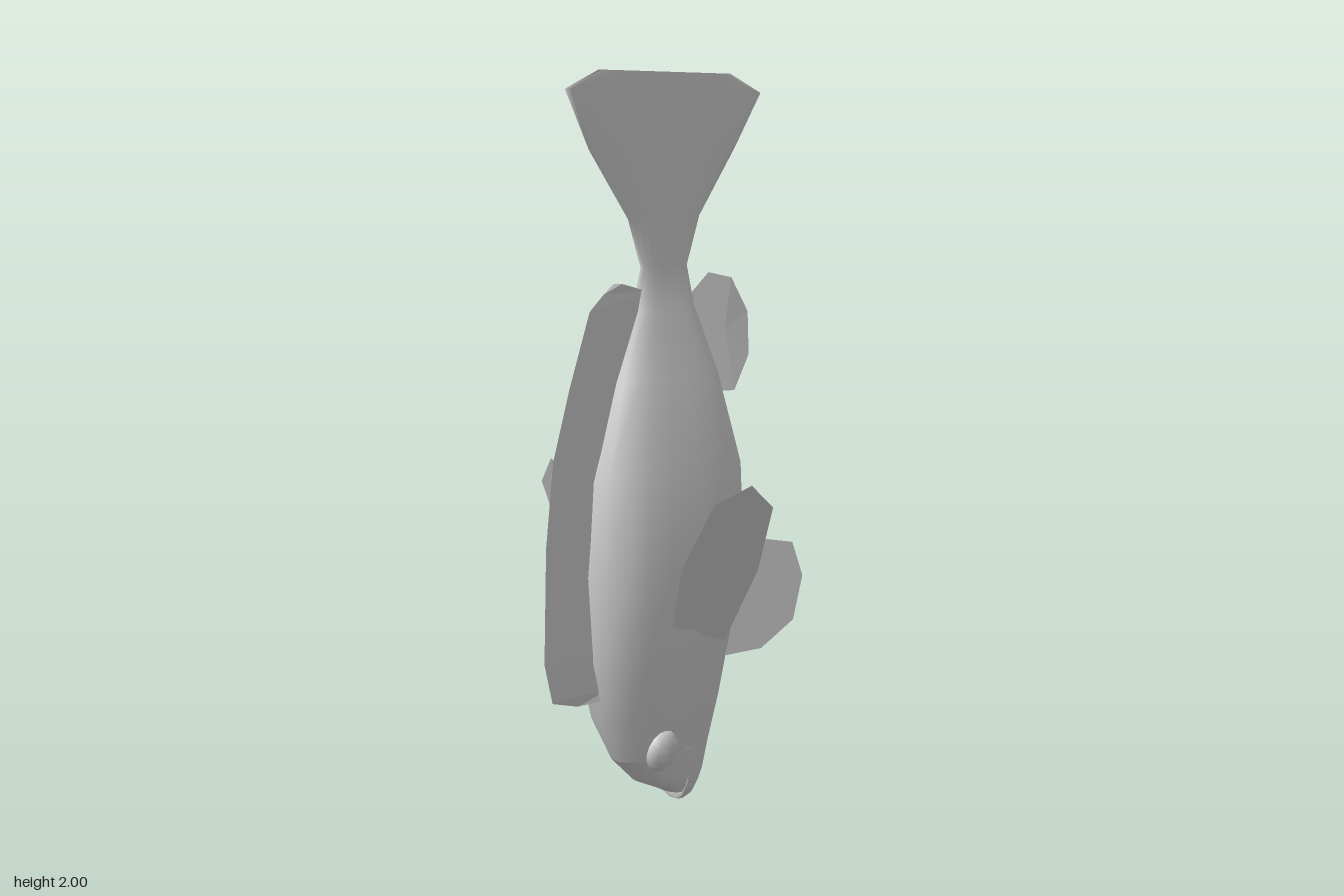
import * as THREE from 'three';

const smooth = new THREE.MeshStandardMaterial({ color: 0xcccccc, side: THREE.DoubleSide });
const flat = new THREE.MeshStandardMaterial({ color: 0xcccccc, side: THREE.DoubleSide, flatShading: true });

// Half sections as [t, w]: t runs from belly (0) to back (1), w is a share of the half width
const EGG = [[1, 0], [0.975, 0.35], [0.89, 0.66], [0.78, 0.81], [0.64, 0.9], [0.47, 0.96],
  [0.27, 1], [0.1, 0.86], [0.03, 0.5], [0, 0]];
const WEDGE = [[1, 0], [0, 1], [0, 0]];

// Skin a stack of mirrored sections; each row is [y, zBack, zBelly, halfWidth, clampLow, clampHigh]
function loft(rows, half) {
  const ring = [...half, ...half.slice(1, -1).reverse().map(([t, w]) => [t, -w])];
  const n = ring.length, pos = [], index = [];
  const addRing = ([y, zBack, zBelly, width, low = -9, high = 9]) => {
    for (const [t, w] of ring) {
      const z = zBelly + (zBack - zBelly) * t;
      pos.push(w * width, y, Math.min(high, Math.max(low, z)));
    }
  };
  rows.forEach(addRing);
  for (let i = 0; i < rows.length - 1; i++) {
    for (let j = 0; j < n; j++) {
      const a = i * n + j, b = i * n + (j + 1) % n;
      index.push(a, b, b + n, a, b + n, a + n);
    }
  }
  // End caps on their own vertices, so that the rims stay sharp
  for (const [row, up] of [[rows[0], false], [rows[rows.length - 1], true]]) {
    const s = pos.length / 3;
    addRing(row);
    for (let j = 1; j < n - 1; j++) {
      index.push(s, up ? s + j : s + j + 1, up ? s + j + 1 : s + j);
    }
  }
  const g = new THREE.BufferGeometry();
  g.setAttribute('position', new THREE.Float32BufferAttribute(pos, 3));
  g.setIndex(index);
  g.computeVertexNormals();
  return g;
}

// Thin fin: a fan around the middle of its outline
function fin(points, side) {
  const pts = points.map(([x, y, z]) => new THREE.Vector3(x * side, y, z));
  const mid = pts.reduce((s, p) => s.add(p), new THREE.Vector3()).divideScalar(pts.length);
  const tris = pts.flatMap((p, i) => {
    const q = pts[(i + 1) % pts.length];
    return side > 0 ? [mid, p, q] : [mid, q, p];
  });
  const g = new THREE.BufferGeometry().setFromPoints(tris);
  g.computeVertexNormals();
  return g;
}

export function createModel() {
  const model = new THREE.Group();
  const add = (name, geometry, material = smooth) => {
    const mesh = new THREE.Mesh(geometry, material);
    mesh.name = name;
    model.add(mesh);
    return mesh;
  };

  // Body running up into the tail fin
  add('bodyAndTail', loft([
    [0.17, 0.175, -0.17, 0.08], [0.3, 0.25, -0.2, 0.105], [0.47, 0.295, -0.23, 0.13],
    [0.7, 0.31, -0.27, 0.155], [0.95, 0.283, -0.268, 0.14], [1.2, 0.19, -0.21, 0.085],
    [1.38, 0.1, -0.143, 0.035], [1.49, 0.07, -0.12, 0.017], [1.62, 0.125, -0.18, 0.013],
    [1.8, 0.28, -0.34, 0.011], [1.95, 0.37, -0.46, 0.008], [2.0, 0.24, -0.32, 0.002],
  ], EGG));

  // Jaws, parted by the narrow mouth slit
  add('upperJaw', loft([
    [0.03, -0.04, -0.1, 0.04, -0.06], [0.055, 0.01, -0.13, 0.055, -0.058],
    [0.09, 0.085, -0.15, 0.066, -0.055], [0.13, 0.13, -0.16, 0.073, -0.053],
    [0.17, 0.175, -0.17, 0.08, -0.05],
  ], EGG));
  add('lowerJaw', loft([
    [0.003, -0.066, -0.098, 0.02, -9, -0.07], [0.02, -0.03, -0.118, 0.04, -9, -0.065],
    [0.055, 0.01, -0.134, 0.055, -9, -0.065], [0.09, 0.085, -0.15, 0.066, -9, -0.059],
    [0.17, 0.175, -0.17, 0.08, -9, -0.05],
  ], EGG));

  // Dorsal fin, thick at the root and thin at the rim
  add('dorsalFin', loft([
    [0.36, 0.335, 0.24, 0.02], [0.39, 0.435, 0.22, 0.02], [0.5, 0.465, 0.24, 0.02],
    [0.8, 0.455, 0.24, 0.018], [1.02, 0.425, 0.2, 0.016], [1.2, 0.36, 0.14, 0.014],
    [1.39, 0.28, 0.06, 0.011], [1.43, 0.225, 0.06, 0.01], [1.455, 0.185, 0.16, 0.008],
  ], WEDGE), flat);

  // Paired parts
  const pectoral = [[0.295, 0.9, 0.14], [0.345, 0.945, 0.045], [0.335, 0.87, -0.065],
    [0.245, 0.68, -0.125], [0.14, 0.47, -0.118], [0.125, 0.51, 0], [0.13, 0.55, 0.1], [0.2, 0.72, 0.152]];
  const pelvic = [[-0.2, 0.4], [-0.31, 0.405], [-0.41, 0.475], [-0.438, 0.6], [-0.405, 0.7],
    [-0.32, 0.718], [-0.22, 0.68]].map(([z, y]) => [0.11 + (-z - 0.27) * 0.39, y, z]);
  const anal = [[0.015, 1.41, -0.12], [0.055, 1.47, -0.15], [0.095, 1.455, -0.2],
    [0.11, 1.36, -0.255], [0.1, 1.24, -0.275], [0.07, 1.14, -0.25], [0.03, 1.14, -0.2]];
  for (const [side, label] of [[1, 'left'], [-1, 'right']]) {
    add(label + 'PectoralFin', fin(pectoral, side), flat);
    add(label + 'PelvicFin', fin(pelvic, side), flat);
    add(label + 'AnalFin', fin(anal, side), flat);
    const eye = add(label + 'Eye', new THREE.SphereGeometry(0.06, 8, 8));
    eye.scale.x = 0.55;
    eye.position.set(side * 0.07, 0.19, 0.072);
    eye.rotation.z = -side * 0.2;
  }
  return model;
}
